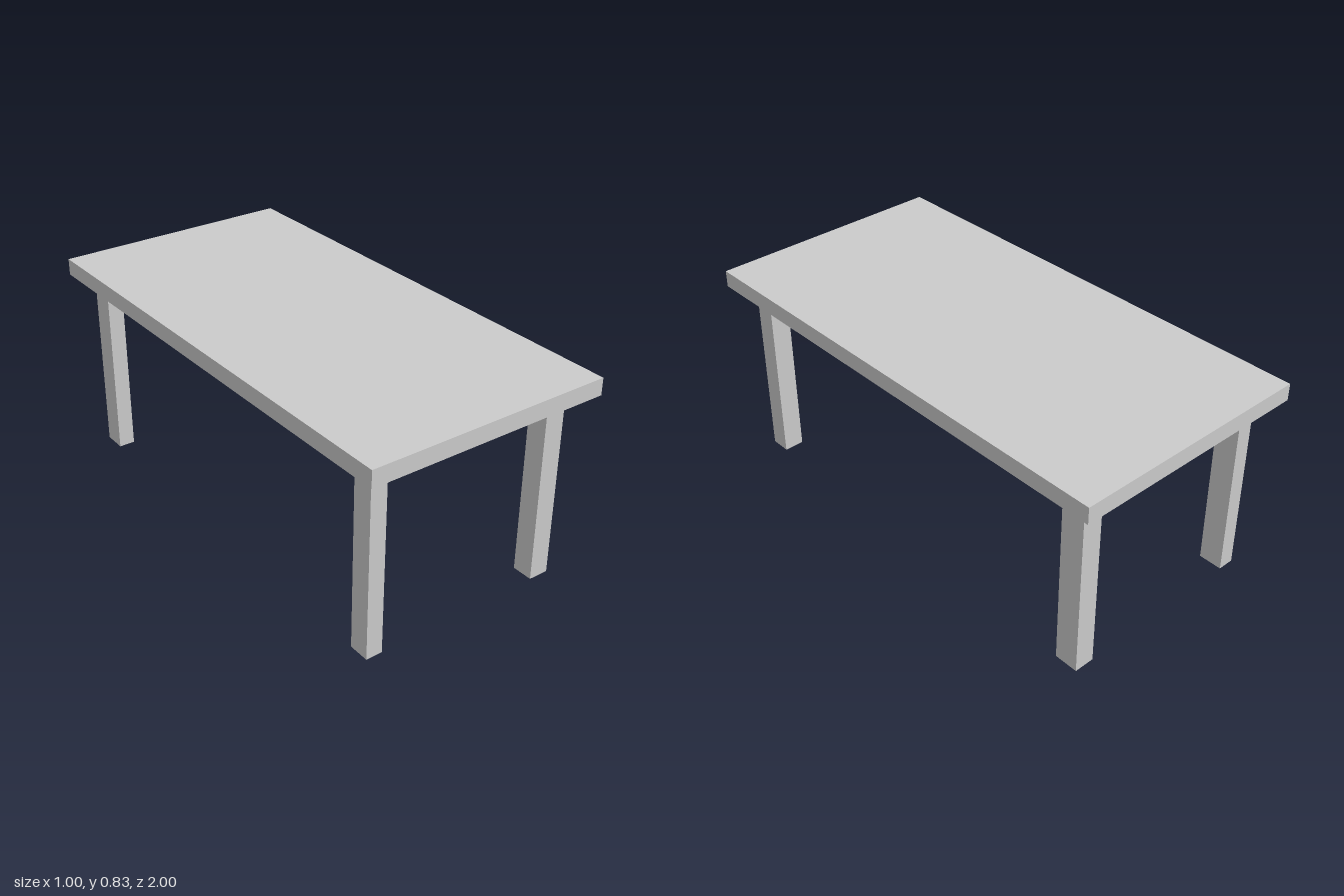
import * as THREE from 'three';

export function createModel() {
  const model = new THREE.Group();
  model.name = 'table';
  const material = new THREE.MeshStandardMaterial({ color: 0xcccccc, flatShading: true });

  // Box given by its extents along each axis
  function addBox(name, [x0, x1], [y0, y1], [z0, z1]) {
    const mesh = new THREE.Mesh(new THREE.BoxGeometry(x1 - x0, y1 - y0, z1 - z0), material);
    mesh.position.set((x0 + x1) / 2, (y0 + y1) / 2, (z0 + z1) / 2);
    mesh.name = name;
    model.add(mesh);
  }

  const underside = 0.761;

  // Table top
  addBox('tableTop', [-0.5, 0.5], [underside, 0.829], [-1, 1]);

  // Four legs: wider on the left side, deeper at the back
  const sides = { Left: [0.338, 0.421], Right: [-0.43, -0.363] };
  const ends = { front: [0.827, 0.912], back: [-0.912, -0.814] };
  for (const [end, z] of Object.entries(ends)) {
    for (const [side, x] of Object.entries(sides)) {
      addBox(`${end}${side}Leg`, x, [0, underside], z);
    }
  }

  return model;
}
